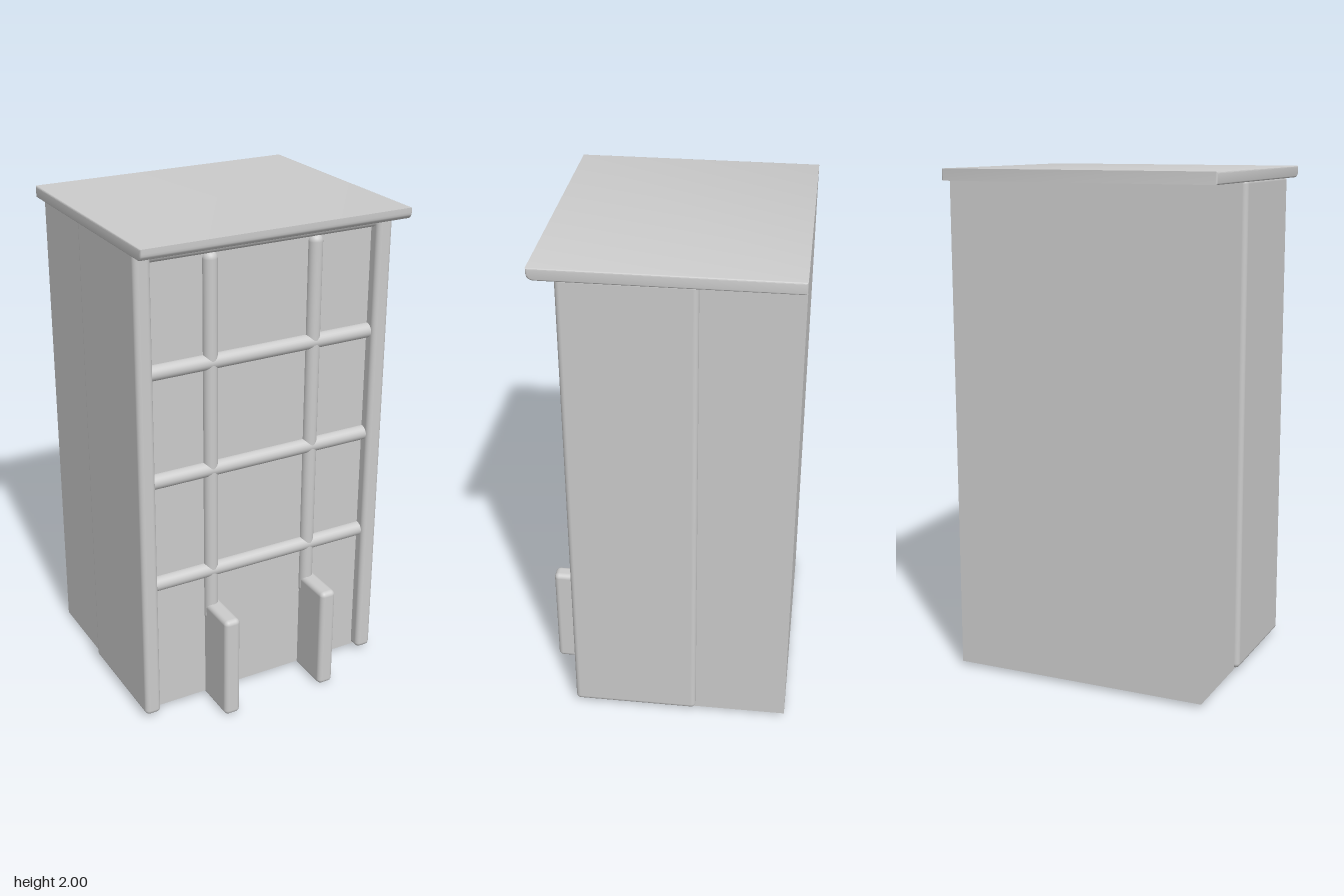
import * as THREE from 'three';
import { RoundedBoxGeometry } from 'three/addons/geometries/RoundedBoxGeometry.js';
import { toCreasedNormals } from 'three/addons/utils/BufferGeometryUtils.js';

const grey = new THREE.MeshStandardMaterial({ color: 0xcccccc });

export function createModel() {
  const group = new THREE.Group();

  function add(name, geometry, x = 0, y = 0, z = 0) {
    const mesh = new THREE.Mesh(geometry, grey);
    mesh.name = name;
    mesh.position.set(x, y, z);
    group.add(mesh);
    return mesh;
  }
  // Boxes are given by their limits on each axis
  function span(name, [x0, x1], [y0, y1], [z0, z1], radius = 0) {
    const size = [x1 - x0, y1 - y0, z1 - z0];
    const geometry = radius
      ? new RoundedBoxGeometry(...size, 4, radius)
      : new THREE.BoxGeometry(...size);
    return add(name, geometry, (x0 + x1) / 2, (y0 + y1) / 2, (z0 + z1) / 2);
  }

  // Main block, its front face set back between the side walls
  span('body', [-0.52, 0.52], [0.02, 1.957], [-0.5, 0.322]);

  // Rounded side walls wrapping the front half
  span('leftSideWall', [0.473, 0.54], [0.022, 1.965], [-0.132, 0.37], 0.02);
  span('rightSideWall', [-0.54, -0.473], [0.022, 1.965], [-0.132, 0.37], 0.02);

  // Round mullions with domed ends, and the upright fins below them
  for (const [side, x] of [['left', 0.222], ['right', -0.222]]) {
    add(side + 'Mullion', new THREE.CapsuleGeometry(0.029, 1.49, 8, 24), x, 1.14, 0.325);
    const c = side === 'left' ? 0.23 : -0.214;
    span(side + 'Fin', [c - 0.034, c + 0.034], [0.004, 0.45], [0.27, 0.5], 0.02);
  }

  // Floor rails across the front
  [0.602, 1.047, 1.488, 1.935].forEach((y, i) => {
    const rail = add('floorRail' + (i + 1), new THREE.CylinderGeometry(0.03, 0.03, 0.96, 24), 0, y, 0.325);
    rail.rotation.z = Math.PI / 2;
  });

  // Roof slab: profile in (z, y) with a rounded lower front edge, run across x
  const b = 0.006;
  const back = -0.5 + b, front = 0.462 - b, low = 1.954 + b, top = 2 - b;
  const profile = new THREE.Shape();
  profile.moveTo(-back, low);
  profile.lineTo(-back, top);
  profile.lineTo(-front, top);
  profile.lineTo(-front, low + 0.022);
  profile.quadraticCurveTo(-front, low, -front + 0.025, low);
  profile.closePath();
  const roof = new THREE.ExtrudeGeometry(profile, {
    depth: 1.112 - 2 * b, bevelEnabled: true, bevelSize: b, bevelThickness: b,
    bevelSegments: 3, curveSegments: 6,
  });
  roof.translate(0, 0, -0.556 + b);
  roof.rotateY(Math.PI / 2);
  add('roof', toCreasedNormals(roof, 0.7));

  return group;
}
